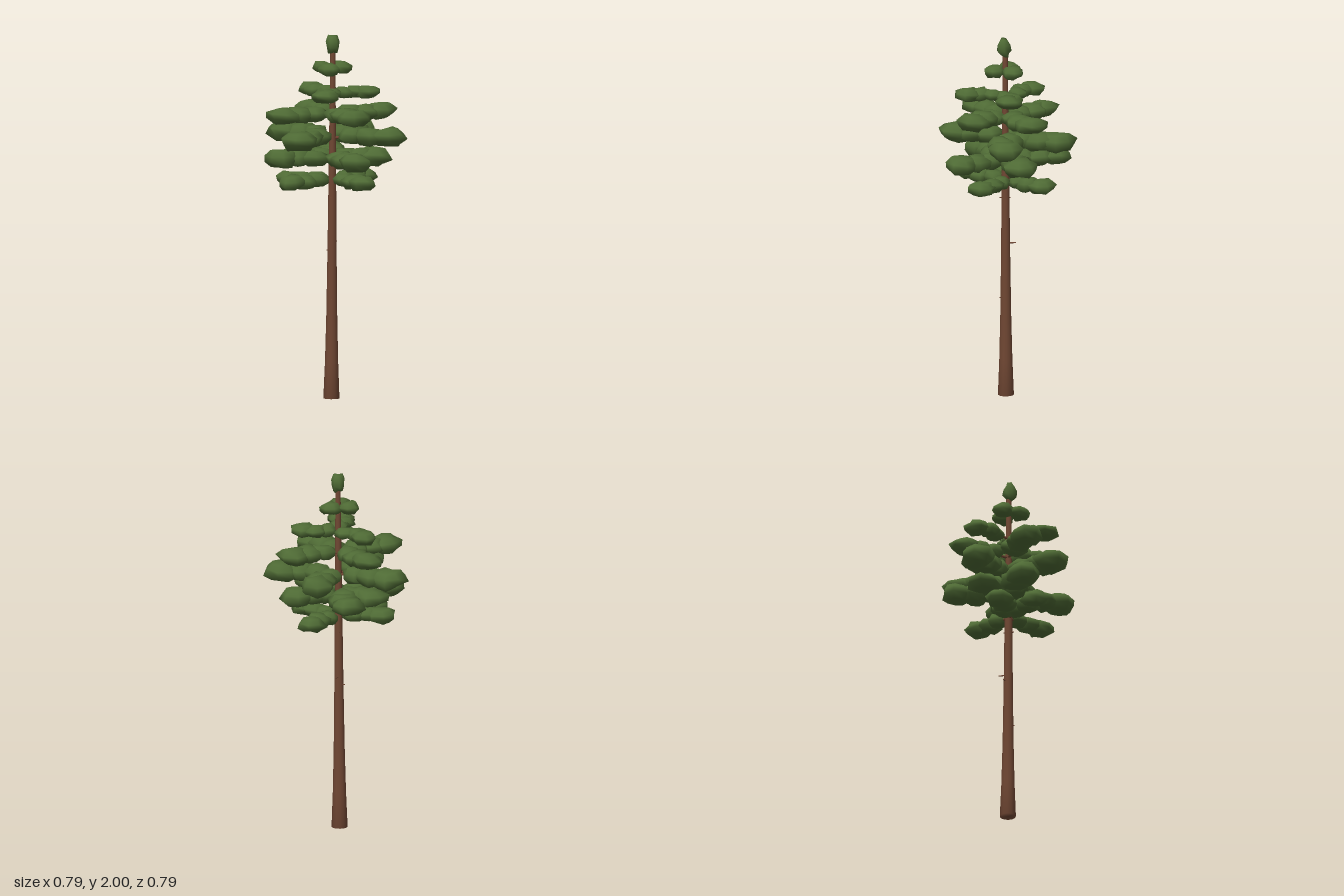
import * as THREE from 'three';
import { mergeVertices } from 'three/addons/utils/BufferGeometryUtils.js';

const bark = new THREE.MeshStandardMaterial({ color: 0x704733 });
bark.name = 'bark brown';
const needles = new THREE.MeshStandardMaterial({ color: 0x4f6b35 });
needles.name = 'needle green';

// Small seeded generator for irregular foliage
let seed = 7;
const rand = () => {
  seed = (seed * 16807) % 2147483647;
  return seed / 2147483647;
};

function add(parent, geometry, material, name) {
  const mesh = new THREE.Mesh(geometry, material);
  mesh.name = name;
  parent.add(mesh);
  return mesh;
}

// Angular cushion of needles: a seven-sided ball with uneven corners
function needlePad(rx, ry, rz) {
  let g = new THREE.SphereGeometry(1, 7, 5);
  g.deleteAttribute('uv');
  g.deleteAttribute('normal');
  g = mergeVertices(g, 1e-3);
  const p = g.attributes.position;
  for (let i = 0; i < p.count; i++) {
    const k = 0.86 + 0.34 * rand();
    const y = THREE.MathUtils.clamp(p.getY(i) * k, -1, 1);
    p.setXYZ(i, p.getX(i) * k * rx, y * ry, p.getZ(i) * k * rz);
  }
  g.computeVertexNormals();
  return g;
}

// Tapered stick between two points
function stick(parent, a, b, r0, r1, name) {
  const dir = b.clone().sub(a);
  const mesh = add(parent, new THREE.CylinderGeometry(r1, r0, dir.length(), 5), bark, name);
  mesh.position.copy(a).addScaledVector(dir, 0.5);
  mesh.quaternion.setFromUnitVectors(new THREE.Vector3(0, 1, 0), dir.normalize());
}

// Tiers: height, half thickness, outer pad radius, arms as [angle from +x towards +z, reach]
const tiers = [
  { y: 1.203, h: 0.042, s: 0.077, arms: [[157, 0.305], [12, 0.31], [112, 0.345], [283, 0.315]] },
  { y: 1.327, h: 0.051, s: 0.094, arms: [[31, 0.395], [235, 0.37], [128, 0.38], [318, 0.33], [185, 0.29]] },
  { y: 1.443, h: 0.054, s: 0.099, arms: [[338, 0.41], [180, 0.395], [94, 0.4], [268, 0.4]] },
  { y: 1.566, h: 0.047, s: 0.089, arms: [[308, 0.365], [209, 0.35], [125, 0.37], [27, 0.32]] },
  { y: 1.682, h: 0.036, s: 0.071, arms: [[67, 0.275], [203, 0.27], [333, 0.265]] },
  { y: 1.813, h: 0.034, s: 0.06, arms: [[175, 0.115], [300, 0.117], [65, 0.122]] },
];

export function createModel() {
  const tree = new THREE.Group();
  tree.name = 'pineTree';

  // Slightly leaning trunk with a flared foot
  const profile = [[0, 0], [0.044, 0], [0.036, 0.2], [0.03, 0.45], [0.025, 0.8],
    [0.021, 1.2], [0.017, 1.6], [0.014, 1.92], [0, 1.92]];
  const trunk = add(tree, new THREE.LatheGeometry(profile.map(([x, y]) => new THREE.Vector2(x, y)), 12), bark, 'trunk');
  trunk.position.x = -0.002;
  trunk.rotation.z = -0.005;

  // Dead twigs on the bare trunk: height, angle, length from axis
  for (const [y, deg, len] of [[0.54, 60, 0.035], [0.805, 190, 0.037], [0.85, 265, 0.058], [1.1, 65, 0.033], [1.1, 250, 0.026]]) {
    const a = THREE.MathUtils.degToRad(deg);
    stick(tree, new THREE.Vector3(0, y, 0),
      new THREE.Vector3(Math.cos(a) * len, y + 0.006, Math.sin(a) * len), 0.004, 0.003, 'deadTwig');
  }

  // Whorls of branches carrying needle pads that grow outwards
  tiers.forEach(({ y, h, s, arms }, t) => {
    const tier = new THREE.Group();
    tier.name = 'branchTier' + (t + 1);
    tree.add(tier);
    for (const [deg, reach] of arms) {
      const a = THREE.MathUtils.degToRad(deg);
      const at = (d, dy = 0) => new THREE.Vector3(Math.cos(a) * d, y + dy, Math.sin(a) * d);
      const tip = reach - s;
      stick(tier, at(0, -0.012), at(tip), 0.008, 0.004, 'branch');
      const count = reach < 0.15 ? 1 : 3;
      for (let i = 0; i < count; i++) {
        const f = 1 - i * 0.32;
        const k = 1 - i * 0.1;
        const pad = add(tier, needlePad(s * k, h * (1 - i * 0.06), s * k), needles, 'needlePad');
        const side = i ? (rand() - 0.5) * 0.04 : 0;
        pad.position.copy(at(tip * f, (rand() - 0.5) * 0.004));
        pad.position.x -= Math.sin(a) * side;
        pad.position.z += Math.cos(a) * side;
        pad.rotation.set((rand() - 0.5) * 0.12, -a, (rand() - 0.5) * 0.12);
      }
    }
  });

  // Crown tip
  const crown = add(tree, needlePad(0.04, 0.053, 0.04), needles, 'crownTip');
  crown.position.set(0.01, 1.947, 0.006);
  return tree;
}
